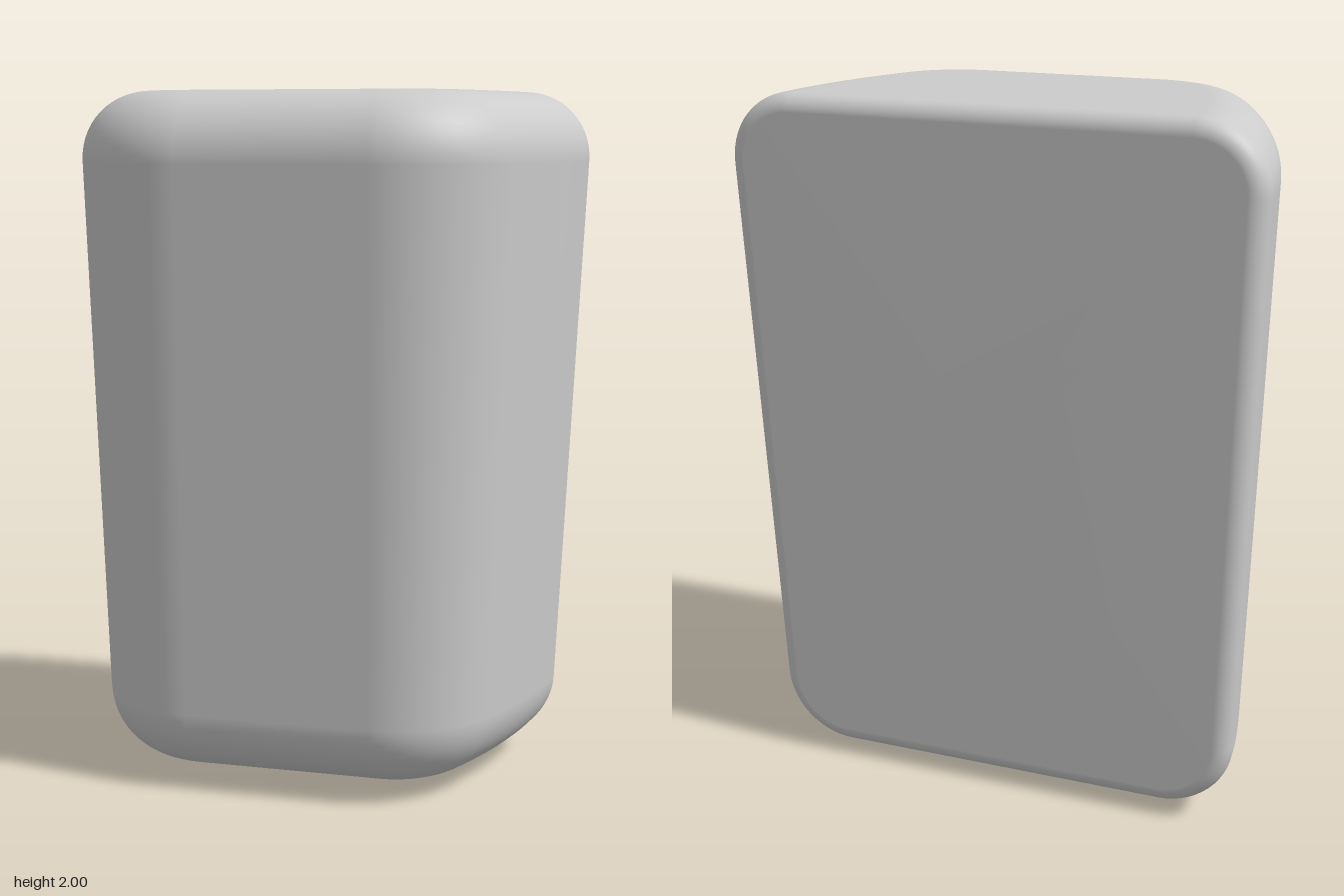
import * as THREE from 'three';
import { mergeGeometries, mergeVertices, toCreasedNormals } from 'three/addons/utils/BufferGeometryUtils.js';

const TOP = 2, BOTTOM = 0.035, ROUND = 0.2, BACK_ROUND = 0.05;
const NOZZLE = { x: -0.23, z: -0.145, hole: 0.14, r: 0.103 };

const backZ = (y) => -0.415 + 0.0356 * (TOP - y);   // slightly leaning back plane
const draft = (y) => 0.036 * (TOP - ROUND - y);     // taper towards the bottom

// Horizontal levels: rounded bottom edge, straight wall, rounded top edge
function makeLevels(steps = 14) {
  const levels = [];
  for (const end of [-1, 1]) {
    for (let i = 0; i <= steps; i++) {
      const t = i / steps * Math.PI / 2;
      const a = end < 0 ? t - Math.PI / 2 : t;
      const cy = end < 0 ? BOTTOM + ROUND : TOP - ROUND;
      levels.push({
        y: cy + ROUND * Math.sin(a),
        inset: draft(cy + ROUND * Math.sin(a)) + ROUND * (1 - Math.cos(a)),
        nx: Math.cos(a), ny: Math.sin(a),
      });
    }
  }
  return levels;
}

// Bow-shaped plan at one level: shallow side arc, tight front arc, mirrored
function planOutline({ y, inset }) {
  const bend = THREE.MathUtils.degToRad(25);
  const r1 = 0.38, r2 = 1.65, cx = 0.27, cz = 0.03;
  const sx = cx - (r2 - r1) * Math.cos(bend), sz = cz - (r2 - r1) * Math.sin(bend);
  const startZ = backZ(y) + BACK_ROUND;
  const start = Math.asin((startZ - sz) / (r2 - inset));
  const half = [];
  for (let i = 0; i <= 14; i++) {
    const a = start + (bend - start) * i / 14;
    half.push([sx + (r2 - inset) * Math.cos(a), y, sz + (r2 - inset) * Math.sin(a)]);
  }
  for (let i = 1; i <= 18; i++) {
    const a = bend + (Math.PI / 2 - bend) * i / 18;
    half.push([cx + (r1 - inset) * Math.cos(a), y, cz + (r1 - inset) * Math.sin(a)]);
  }
  return [...half, ...half.slice().reverse().map(([x, h, z]) => [-x, h, z])];
}

function indexed(points, index) {
  const g = new THREE.BufferGeometry();
  g.setAttribute('position', new THREE.Float32BufferAttribute(points.flat(), 3));
  g.setIndex(index);
  return g;
}

// Surface through a list of equal-length rows
function loft(rows, closed) {
  const n = rows[0].length, index = [];
  for (let j = 0; j < rows.length - 1; j++) {
    for (let i = 0; i < (closed ? n : n - 1); i++) {
      const k = (i + 1) % n;
      const a = j * n + i, b = j * n + k, c = a + n, d = b + n;
      index.push(a, c, b, b, c, d);
    }
  }
  return indexed(rows.flat(), index);
}

// Flat cap around a centre point
function fan(ring, centre) {
  const n = ring.length, index = [];
  for (let i = 0; i < n; i++) index.push(n, (i + 1) % n, i);
  return indexed([...ring, centre], index);
}

function bodyGeometry() {
  const levels = makeLevels();
  const rows = levels.map(planOutline);

  // Small rounding from the walls into the back panel
  const rings = [];
  for (let k = 0; k <= 8; k++) {
    const a = k / 8 * Math.PI / 2;
    const e = BACK_ROUND * (1 - Math.cos(a)), s = BACK_ROUND * (1 - Math.sin(a));
    const side = levels.map((l, i) => {
      const y = l.y - e * l.ny;
      return [rows[i][0][0] - e * l.nx, y, backZ(y) + s];
    });
    rings.push([...side, ...side.slice().reverse().map(([x, y, z]) => [-x, y, z])]);
  }

  // Underside with the nozzle opening
  const shape = new THREE.Shape(rows[0].map(([x, , z]) => new THREE.Vector2(x, z)));
  shape.holes.push(new THREE.Path().absarc(NOZZLE.x, NOZZLE.z, NOZZLE.hole, 0, Math.PI * 2, true));
  const under = new THREE.ShapeGeometry(shape, 24).rotateX(Math.PI / 2).translate(0, BOTTOM, 0);
  under.deleteAttribute('normal');
  under.deleteAttribute('uv');

  const g = mergeVertices(mergeGeometries([
    loft(rows, false),
    loft(rings, true),
    fan(rows[rows.length - 1], [0, TOP, -0.1]),
    fan(rings[rings.length - 1], [0, 1, backZ(1)]),
    under,
  ]), 1e-4);
  g.computeVertexNormals();
  return g;
}

export function createModel() {
  const group = new THREE.Group();
  const material = new THREE.MeshStandardMaterial({ color: 0xcccccc });

  const body = new THREE.Mesh(bodyGeometry(), material);
  body.name = 'housing';
  group.add(body);

  // Round outlet standing in a shallow recess
  const { r, hole } = NOZZLE;
  const profile = [[0, 0], [r - 0.012, 0], [r - 0.004, 0.004], [r, 0.012], [r, 0.08],
    [hole - 0.008, 0.08], [hole - 0.005, 0.05], [hole, BOTTOM]];
  const outlet = new THREE.Mesh(toCreasedNormals(new THREE.LatheGeometry(
    profile.map(([x, y]) => new THREE.Vector2(x, y)), 48), 0.9), material);
  outlet.name = 'outletNozzle';
  outlet.position.set(NOZZLE.x, 0, NOZZLE.z);
  group.add(outlet);

  return group;
}
